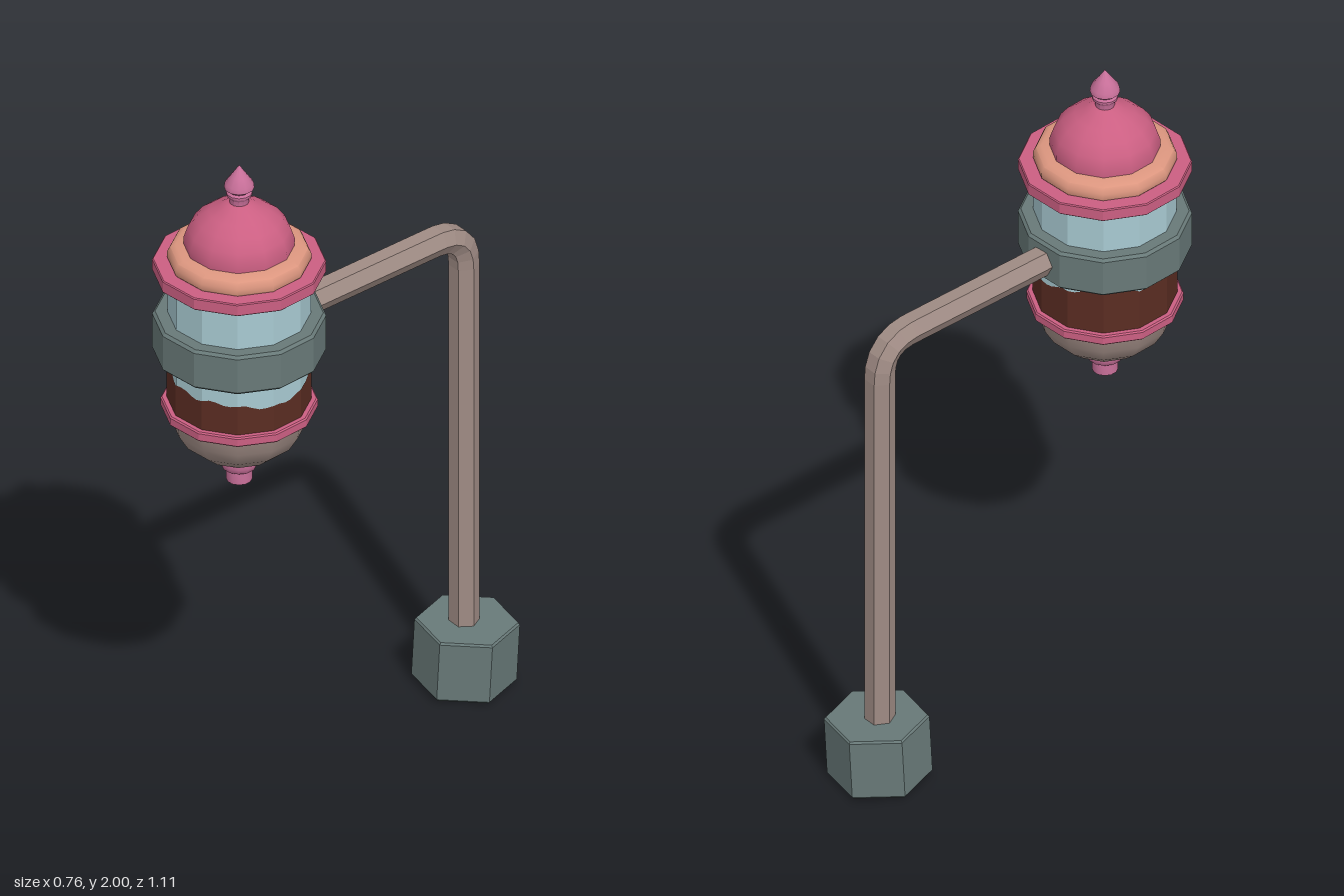
import * as THREE from 'three';
import { toCreasedNormals } from 'three/addons/utils/BufferGeometryUtils.js';

const SPIN = -Math.PI / 18; // all turned parts share this facet offset

function makeMaterial(name, color) {
  const m = new THREE.MeshStandardMaterial({ color });
  m.name = name;
  return m;
}

// faceted copy of a geometry
function flat(geometry) {
  const g = geometry.toNonIndexed();
  g.computeVertexNormals();
  return g;
}

// turned part from [radius, y] points, listed bottom to top
function turned(name, profile, material, { sides = 12, smooth = false } = {}) {
  const pts = profile.map(([r, y]) => new THREE.Vector2(r, y));
  const lathe = new THREE.LatheGeometry(pts, sides);
  const mesh = new THREE.Mesh(smooth ? toCreasedNormals(lathe, 0.75) : flat(lathe), material);
  mesh.name = name;
  mesh.rotation.y = SPIN;
  return mesh;
}

// solid ring with slightly bevelled rims
function ring(name, inner, outer, y0, y1, bevel, material) {
  return turned(name, [
    [inner, y0], [outer - bevel, y0], [outer, y0 + bevel],
    [outer, y1 - bevel], [outer - bevel, y1], [inner, y1],
  ], material);
}

export function createModel() {
  const pink = makeMaterial('pink enamel', 0xcb5f82);
  const lilac = makeMaterial('light pink enamel', 0xc9709a);
  const orange = makeMaterial('orange gasket', 0xdc967f);
  const glassMat = makeMaterial('pale blue glass', 0xa8cad2);
  const steel = makeMaterial('grey green steel', 0x687978);
  const pipeMat = makeMaterial('taupe metal', 0x9f8b84);
  const liquidMat = makeMaterial('brown liquid', 0x5a2c22);
  liquidMat.side = THREE.DoubleSide;

  const model = new THREE.Group();
  model.name = 'dispenser';
  const tank = new THREE.Group();
  tank.name = 'tank';
  tank.position.set(-0.142, 0, 0.315);
  model.add(tank);

  // nozzle and lower bowl
  tank.add(turned('nozzle', [
    [0, 1.0], [0.024, 1.0], [0.027, 0.985], [0.036, 0.988], [0.036, 1.024],
    [0.048, 1.03], [0.054, 1.045], [0.054, 1.066], [0.045, 1.085], [0, 1.085],
  ], lilac, { smooth: true }));
  tank.add(turned('lowerBowl', [
    [0, 1.067], [0.06, 1.072], [0.115, 1.092], [0.16, 1.13], [0.187, 1.175], [0.196, 1.225],
  ], pipeMat, { smooth: true }));
  tank.add(ring('lowerFlange', 0.15, 0.216, 1.22, 1.25, 0.004, pink));

  // glass with the liquid as a thin shell around its lower half
  tank.add(turned('glass', [[0.197, 1.23], [0.197, 1.68]], glassMat));
  const sides = 12, split = 5, steps = sides * split;
  const pos = [], index = [];
  for (let i = 0; i <= steps; i++) {
    const k = Math.floor(i / split), f = (i % split) / split;
    const a = (k / sides) * Math.PI * 2, b = ((k + 1) / sides) * Math.PI * 2;
    const x = 0.199 * THREE.MathUtils.lerp(Math.sin(a), Math.sin(b), f);
    const z = 0.199 * THREE.MathUtils.lerp(Math.cos(a), Math.cos(b), f);
    const phi = (i / steps) * Math.PI * 2;
    const top = 1.357 - 0.022 * Math.sin(phi) - 0.015 * Math.cos(phi)
      + 0.006 * Math.sin(4 * phi) + 0.005 * Math.sin(13 * phi);
    pos.push(x, 1.24, z, x, top, z);
    if (i < steps) {
      const n = i * 2;
      index.push(n, n + 2, n + 1, n + 2, n + 3, n + 1);
    }
  }
  const shell = new THREE.BufferGeometry();
  shell.setAttribute('position', new THREE.Float32BufferAttribute(pos, 3));
  shell.setIndex(index);
  const liquid = new THREE.Mesh(flat(shell), liquidMat);
  liquid.name = 'liquid';
  liquid.rotation.y = SPIN;
  tank.add(liquid);

  // clamp band, upper flange and gasket
  tank.add(ring('clampBand', 0.19, 0.239, 1.402, 1.525, 0.008, steel));
  tank.add(ring('upperFlange', 0.15, 0.239, 1.657, 1.695, 0.003, pink));
  tank.add(turned('gasket', [
    [0.19, 1.69], [0.198, 1.70], [0.198, 1.718], [0.19, 1.734], [0.175, 1.741], [0.14, 1.743],
  ], orange, { smooth: true }));

  // lid dome and finial
  tank.add(turned('lid', [
    [0.152, 1.735], [0.153, 1.765], [0.142, 1.797], [0.118, 1.828], [0.085, 1.853],
    [0.055, 1.867], [0.035, 1.88], [0, 1.885],
  ], pink, { smooth: true }));
  tank.add(turned('finial', [
    [0.027, 1.87], [0.027, 1.895], [0.036, 1.905], [0.036, 1.912], [0.03, 1.918],
    [0.042, 1.928], [0.04, 1.943], [0.024, 1.965], [0.01, 1.985], [0, 2.0],
  ], lilac, { smooth: true }));

  // bent six-sided pipe from the foot up to the clamp band
  const foot = new THREE.Vector3(0.237, 0.12, -0.413);
  const elbow = new THREE.Vector3(0.237, 1.46, -0.413);
  const dir = new THREE.Vector3(-0.142, 0, 0.315).sub(new THREE.Vector3(0.237, 0, -0.413)).normalize();
  const bendStart = elbow.clone().setY(1.35);
  const bendEnd = elbow.clone().addScaledVector(dir, 0.11);
  const path = new THREE.CurvePath();
  path.add(new THREE.LineCurve3(foot, bendStart));
  path.add(new THREE.QuadraticBezierCurve3(bendStart, elbow, bendEnd));
  path.add(new THREE.LineCurve3(bendEnd, elbow.clone().addScaledVector(dir, 0.61)));
  const pipe = new THREE.Mesh(flat(new THREE.TubeGeometry(path, 56, 0.043, 6)), pipeMat);
  pipe.name = 'pipe';
  model.add(pipe);

  // slightly tilted hexagonal foot with a socket underneath
  const nut = turned('foot', [
    [0, 0.06], [0.04, 0.06], [0.04, 0], [0.14, 0], [0.145, 0.006],
    [0.145, 0.184], [0.14, 0.19], [0, 0.19],
  ], steel, { sides: 6 });
  const base = new THREE.Group();
  base.name = 'base';
  base.position.set(0.237, 0.008, -0.413);
  base.rotation.z = -0.05;
  base.add(nut);
  model.add(base);

  return model;
}
